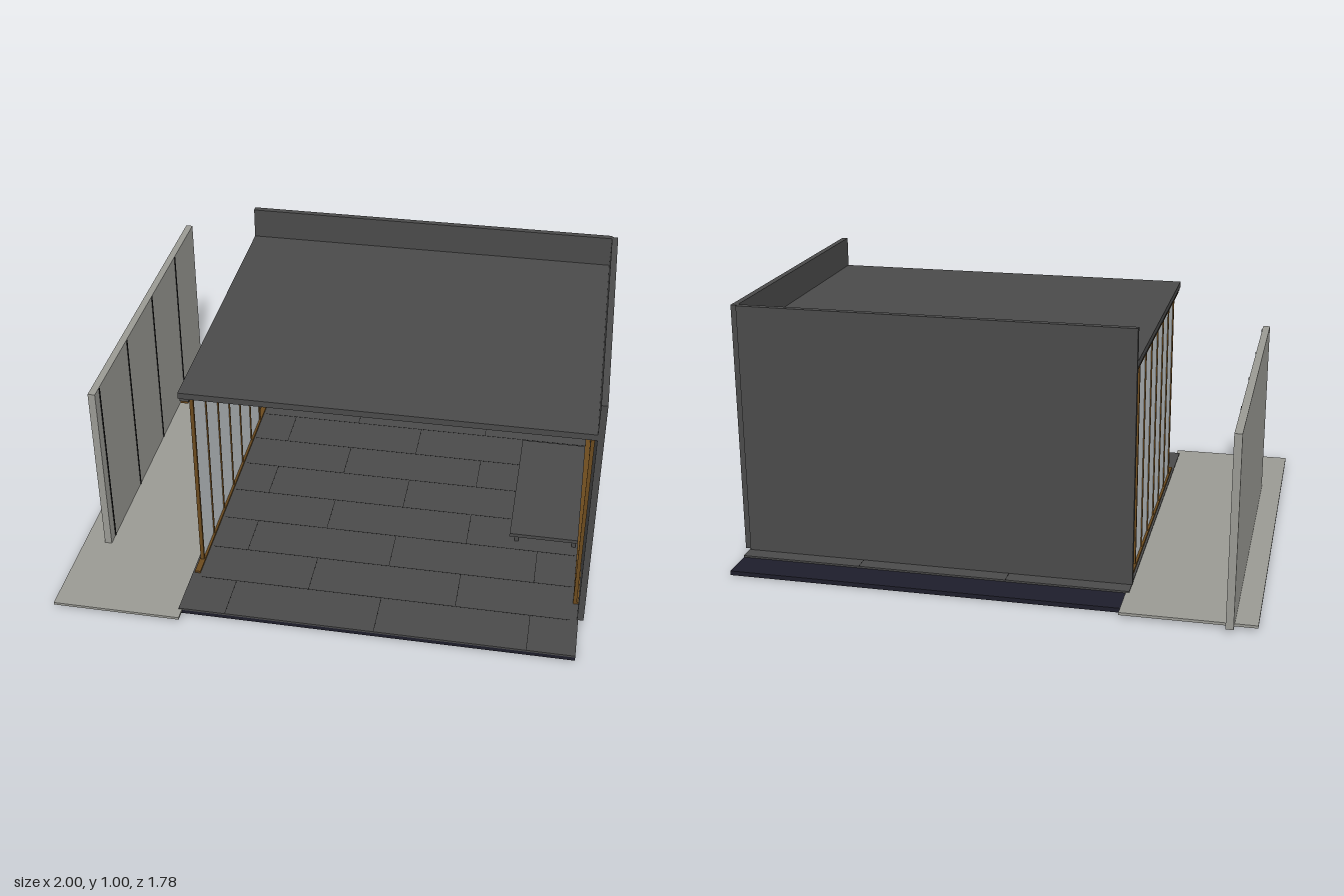
import * as THREE from 'three';

const mat = (name, color, side = THREE.FrontSide) => {
  const m = new THREE.MeshStandardMaterial({ color, side });
  m.name = name;
  return m;
};

export function createModel() {
  const model = new THREE.Group();
  model.name = 'pavilion';

  const charcoal = mat('charcoal panel', 0x4a4a4a);
  const navy = mat('dark base', 0x1e1e2b);
  const concrete = mat('pale concrete', 0x9a9a94);
  const glass = mat('glass', 0xc4cacd, THREE.DoubleSide);
  const wood = mat('brown frame', 0x6b4a1e);
  const black = mat('black joint', 0x141414);

  // Box given by its lower and upper limits on each axis
  const box = (name, material, [x0, x1], [y0, y1], [z0, z1], parent = model) => {
    const mesh = new THREE.Mesh(new THREE.BoxGeometry(x1 - x0, y1 - y0, z1 - z0), material);
    mesh.position.set((x0 + x1) / 2, (y0 + y1) / 2, (z0 + z1) / 2);
    mesh.name = name;
    parent.add(mesh);
    return mesh;
  };
  const group = (name) => {
    const g = new THREE.Group();
    g.name = name;
    model.add(g);
    return g;
  };

  // Ground slab, floor finish and side path
  box('baseSlab', navy, [-0.52, 0.98], [0, 0.017], [-0.8, 0.84]);
  box('floor', charcoal, [-0.52, 0.98], [0.017, 0.024], [-0.67, 0.842]);
  box('path', concrete, [-1, -0.507], [0.01, 0.02], [-0.84, 0.89]);

  // Fine floor joints, staggered from row to row
  const joints = group('floorJoints');
  const row = 0.19;
  for (let i = 0; i < 8; i++) {
    const z1 = 0.84 - i * row;
    const z0 = Math.max(z1 - row, -0.67);
    if (i) box('rowJoint', black, [-0.48, 0.95], [0.0235, 0.0245], [z1 - 0.001, z1 + 0.001], joints);
    for (let x = i % 2 ? -0.055 : -0.34; x < 0.95; x += 0.57) {
      box('endJoint', black, [x - 0.001, x + 0.001], [0.0235, 0.0245], [z0, z1], joints);
    }
  }

  // Solid walls, rising above the roof as a parapet
  box('backWall', charcoal, [-0.522, 0.976], [0.024, 1], [-0.61, -0.585]);
  box('leftWall', charcoal, [0.976, 1], [0.024, 1], [-0.6, 0.645]);
  box('skirting', black, [-0.49, 0.95], [0.024, 0.034], [-0.585, -0.581]);

  // Roof panel
  box('roof', charcoal, [-0.522, 0.976], [0.853, 0.877], [-0.585, 0.645]);

  // Sliding glazed screen along the open side
  const screen = group('glassScreen');
  const zStart = -0.434;
  const pitch = 0.164;
  box('bottomRail', wood, [-0.512, -0.49], [0.024, 0.032], [-0.585, 0.63], screen);
  box('topRail', wood, [-0.515, -0.487], [0.829, 0.84], [-0.585, 0.635], screen);
  box('railHousing', charcoal, [-0.518, -0.484], [0.84, 0.853], [-0.585, 0.64], screen);
  for (let i = 0; i <= 6; i++) {
    const z = zStart + i * pitch;
    const w = i % 6 ? 0.003 : 0.006;
    box('mullion', wood, [-0.508, -0.494], [0.032, 0.829], [z - w, z + w], screen);
    if (i < 6) box('pane', glass, [-0.503, -0.499], [0.032, 0.829], [z + w, z + pitch - 0.003], screen);
  }

  // Slim frame against the inside of the solid side wall
  const frame = group('wallFrame');
  for (const z of [-0.575, 0.55]) {
    box('framePost', wood, [0.956, 0.97], [0.032, 0.829], [z - 0.006, z + 0.006], frame);
  }
  box('frameTopRail', wood, [0.956, 0.976], [0.829, 0.84], [-0.58, 0.556], frame);
  box('frameBottomRail', wood, [0.956, 0.976], [0.024, 0.032], [-0.58, 0.556], frame);

  // Low bench beside the solid wall
  const bench = group('bench');
  box('benchTop', charcoal, [0.685, 0.955], [0.07, 0.085], [-0.4, 0.25], bench);
  for (const x of [0.712, 0.94]) {
    for (const z of [-0.36, 0.21]) {
      box('benchLeg', charcoal, [x - 0.008, x + 0.008], [0.024, 0.07], [z - 0.008, z + 0.008], bench);
    }
  }

  // Free-standing garden wall with vertical joints on its inner face
  box('gardenWall', concrete, [-0.918, -0.89], [0.02, 0.737], [-0.89, 0.51]);
  for (let i = 0; i < 4; i++) {
    const z = 0.46 - i * 0.35;
    box('wallJoint', black, [-0.891, -0.887], [0.022, 0.735], [z - 0.003, z + 0.003]);
  }

  return model;
}
